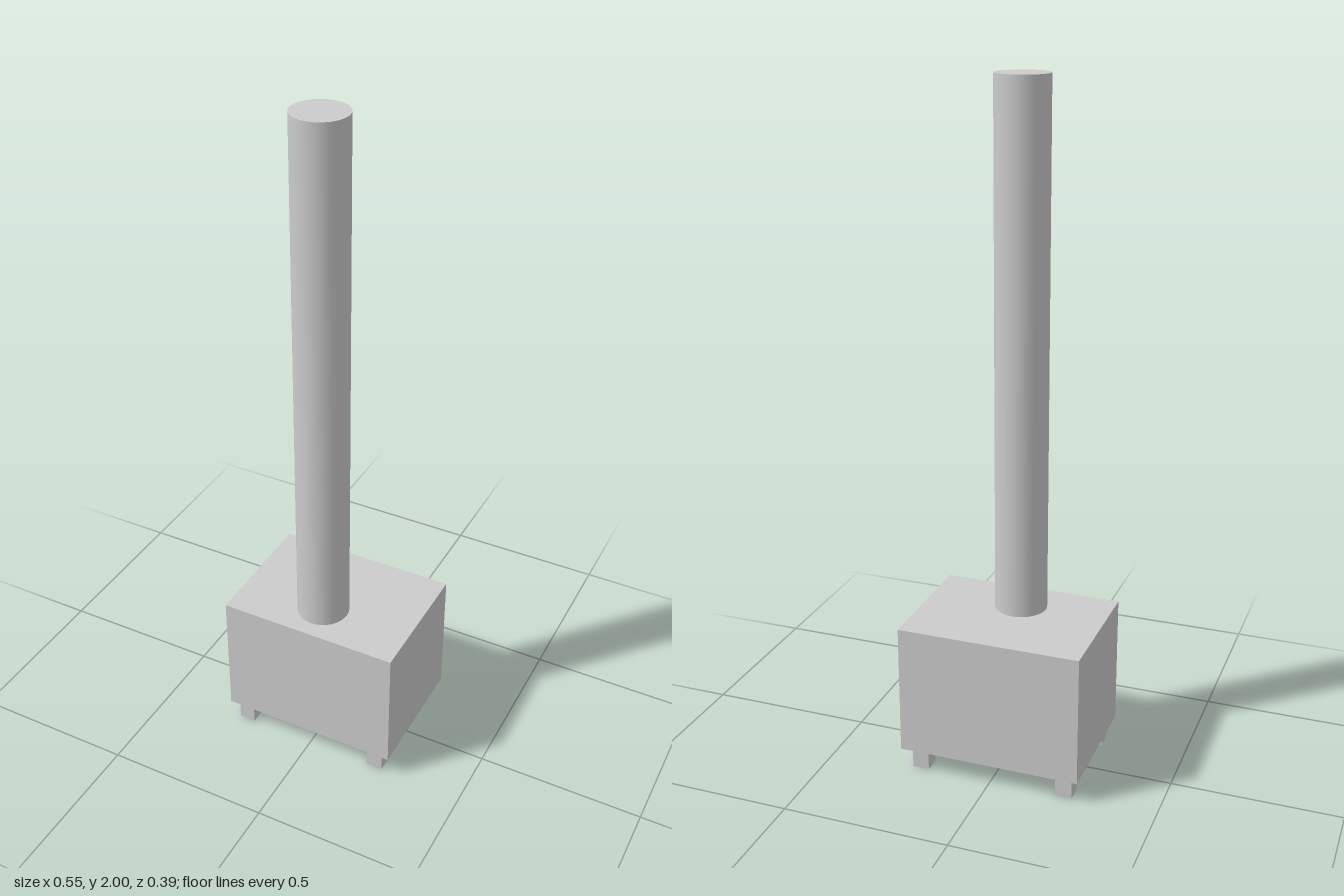
import * as THREE from 'three';

export function createModel() {
  const model = new THREE.Group();
  const material = new THREE.MeshStandardMaterial({ color: 0xcccccc });

  const add = (name, geometry, x, y, z) => {
    const mesh = new THREE.Mesh(geometry, material);
    mesh.name = name;
    mesh.position.set(x, y, z);
    model.add(mesh);
  };

  const legHeight = 0.068, bodyTop = 0.46, top = 2;

  // Box body
  const bodyHeight = bodyTop - legHeight;
  add('body', new THREE.BoxGeometry(0.545, bodyHeight, 0.394), 0, legHeight + bodyHeight / 2, 0);

  // Tall chimney pipe, set towards the front
  const pipeHeight = top - bodyTop;
  add('pipe', new THREE.CylinderGeometry(0.0775, 0.0775, pipeHeight, 32), -0.008, bodyTop + pipeHeight / 2, 0.073);

  // Four square legs
  const leg = new THREE.BoxGeometry(0.05, legHeight, 0.05);
  for (const [side, x] of [['Left', 0.22], ['Right', -0.225]]) {
    for (const [end, z] of [['front', 0.155], ['back', -0.148]]) {
      add(`${end}${side}Leg`, leg, x, legHeight / 2, z);
    }
  }

  return model;
}
